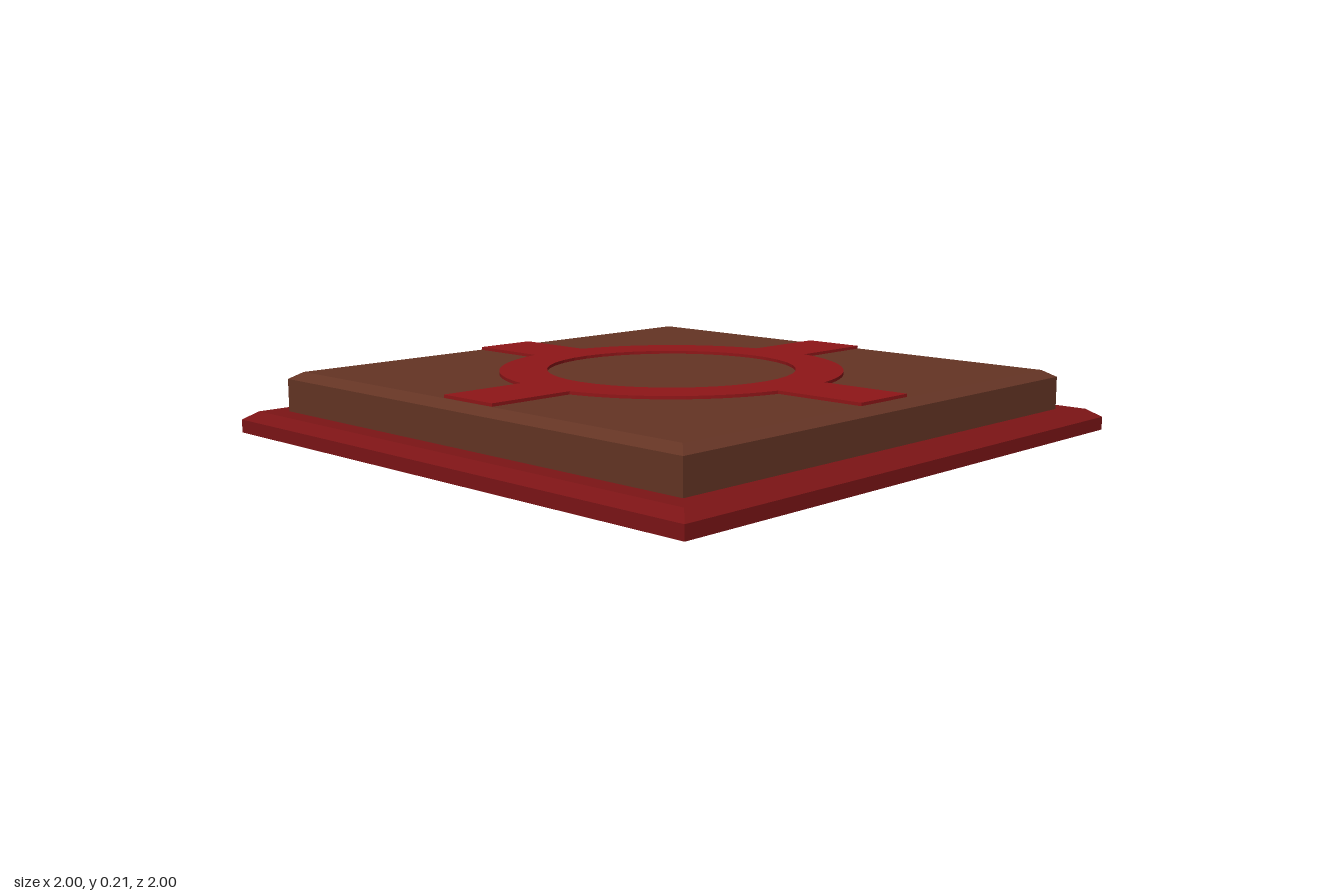
import * as THREE from 'three';

const mat = (color) => new THREE.MeshStandardMaterial({ color, flatShading: true });

// Square solid from a profile of [half width, height] pairs, bottom to top
function squareTier(name, profile, color) {
  const points = profile.map(([h, y]) => new THREE.Vector2(h * Math.SQRT2, y));
  const mesh = new THREE.Mesh(new THREE.LatheGeometry(points, 4, Math.PI / 4), mat(color));
  mesh.name = name;
  return mesh;
}

// Ring with four arms, as one raised plate
function inlay(cx, cz, bottom, top) {
  const outer = 0.56, inner = 0.406, halfArm = 0.11, reach = 0.85;
  const a = Math.asin(halfArm / outer);
  const shape = new THREE.Shape();
  for (let i = 0; i < 4; i++) {
    const turn = (i * Math.PI) / 2;
    const c = Math.cos(turn), s = Math.sin(turn);
    // arm end corners, kept flush with the slab's top edge
    for (const side of [-1, 1]) {
      const x = reach * c - side * halfArm * s - cx * Math.abs(c) ;
      const y = reach * s + side * halfArm * c + cz * Math.abs(s);
      if (i === 0 && side === -1) shape.moveTo(x, y);
      else shape.lineTo(x, y);
    }
    // quarter of the rim up to the next arm
    shape.absarc(0, 0, outer, turn + a, turn + Math.PI / 2 - a, false);
  }
  shape.closePath();
  const hole = new THREE.Path();
  hole.absarc(0, 0, inner, 0, Math.PI * 2, true);
  shape.holes.push(hole);

  const geo = new THREE.ExtrudeGeometry(shape, { depth: top - bottom, bevelEnabled: false, curveSegments: 20 });
  geo.rotateX(-Math.PI / 2);
  geo.translate(cx, bottom, cz);
  const mesh = new THREE.Mesh(geo, mat(0x8f1618));
  mesh.name = 'ringInlay';
  return mesh;
}

export function createModel() {
  const model = new THREE.Group();
  model.name = 'floorPlate';
  model.add(
    squareTier('base', [[0, 0], [1, 0], [1, 0.043], [0.96, 0.07], [0, 0.07]], 0x7c1416),
    squareTier('slab', [[0, 0.06], [0.89, 0.06], [0.89, 0.177], [0.853, 0.2], [0, 0.2]], 0x643424),
    inlay(-0.008, 0.004, 0.19, 0.21),
  );
  return model;
}
